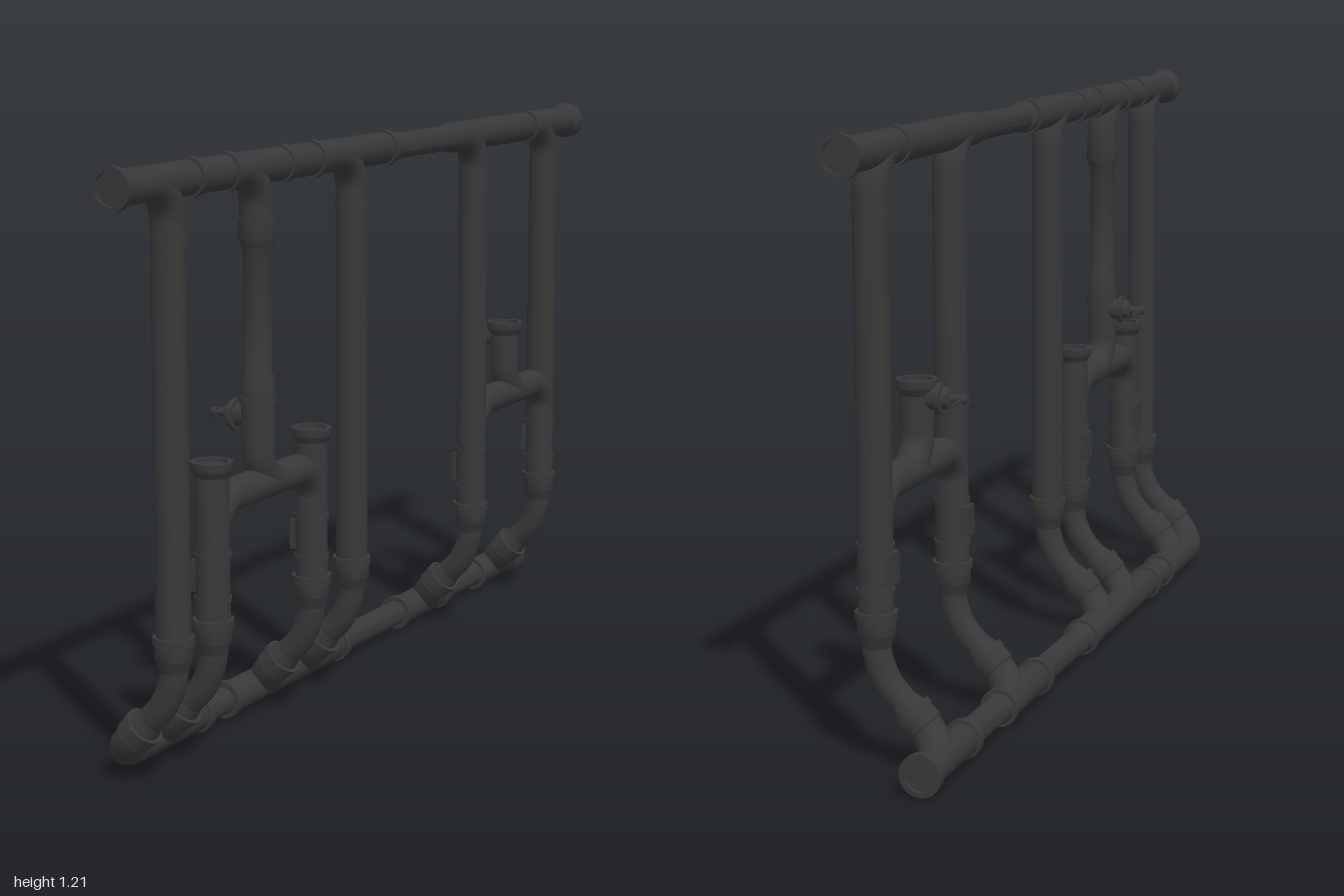
import * as THREE from 'three';
import { toCreasedNormals } from 'three/addons/utils/BufferGeometryUtils.js';

const SIDES = 20;
const R = 0.034, THIN = 0.028, RIM = 0.042;
const TOP = { x: 0.067, y: 1.167 };      // upper header
const LOW = { x: -0.075, y: 0.043 };     // lower header
const KNEE = 0.185;                      // height where the legs turn upright
const CROSS = 0.537;                     // height of the cross pipes
const V = (x, y, z) => new THREE.Vector3(x, y, z);
const onLine = (z) => V(TOP.x, 0, z);

export function createModel() {
  const model = new THREE.Group();
  model.name = 'pipework';
  const material = new THREE.MeshStandardMaterial({ color: 0x383838, side: THREE.DoubleSide });

  const add = (name, geometry, parent = model) => {
    const mesh = new THREE.Mesh(geometry, material);
    mesh.name = name;
    parent.add(mesh);
    return mesh;
  };

  // Turned part: [distance, radius] steps along a direction from an origin
  const turned = (name, origin, dir, steps, parent) => {
    const pts = steps.map(([d, r]) => new THREE.Vector2(r, d));
    const mesh = add(name, toCreasedNormals(new THREE.LatheGeometry(pts, SIDES), 0.6), parent);
    mesh.position.copy(origin);
    mesh.quaternion.setFromUnitVectors(V(0, 1, 0), dir.clone().normalize());
    return mesh;
  };

  // Elbow: straight, rounded corner, straight
  const elbow = (name, a, corner, b, bend, r, parent) => {
    const p = corner.clone().add(a.clone().sub(corner).setLength(bend));
    const q = corner.clone().add(b.clone().sub(corner).setLength(bend));
    const path = new THREE.CurvePath();
    path.add(new THREE.LineCurve3(a, p));
    // handles at 0.55 of the bend give a near-circular arc
    path.add(new THREE.CubicBezierCurve3(p, p.clone().lerp(corner, 0.55), q.clone().lerp(corner, 0.55), q));
    path.add(new THREE.LineCurve3(q, b));
    return add(name, new THREE.TubeGeometry(path, 24, r, SIDES), parent);
  };

  // Narrow raised ring
  const collar = (origin, dir, d, r = 0.039, h = 0.009, parent) =>
    turned('collar', origin, dir, [[d - h, R - 0.01], [d - h, r], [d + h, r], [d + h, R - 0.01]], parent);

  // Open socket mouth with a recessed plug
  const mouth = (origin, dir, parent) => turned('socketMouth', origin, dir,
    [[-0.03, R], [-0.022, 0.038], [-0.016, RIM], [0, RIM], [0, 0.032], [-0.008, 0.032], [-0.008, 0]], parent);

  // Upper header, with a thinner length in the middle
  const zAxis = V(0, 0, 1);
  const topOrigin = V(TOP.x, TOP.y, 0);
  turned('upperHeader', topOrigin, zAxis, [
    [-0.99, 0], [-0.99, R], [-0.35, R], [-0.32, THIN], [-0.06, THIN], [-0.055, R], [0.99, R], [0.99, 0]]);
  [0.737, 0.61, 0.405, 0.28, -0.03, -0.75].forEach((z) => collar(topOrigin, zAxis, z));
  mouth(V(TOP.x, TOP.y, 1), zAxis);
  mouth(V(TOP.x, TOP.y, -1), V(0, 0, -1));

  // Lower header
  const lowOrigin = V(LOW.x, LOW.y, 0);
  turned('lowerHeader', lowOrigin, zAxis, [
    [-0.99, 0], [-0.99, R], [-0.78, R], [-0.76, THIN], [-0.6, THIN], [-0.58, R], [-0.38, R], [-0.36, THIN],
    [-0.09, THIN], [-0.08, R], [0.4, R], [0.41, THIN], [0.49, THIN], [0.5, R], [0.72, R]]);
  [0.507, 0.4, -0.07, -0.37, -0.58, -0.78].forEach((z) => collar(lowOrigin, zAxis, z));
  mouth(V(LOW.x, LOW.y, -1), V(0, 0, -1));

  // Leg: sweeps out of the lower header, slants up and turns upright
  const slant = V(1, 1, 0).normalize();
  const leg = (z) => {
    const group = new THREE.Group();
    group.name = 'leg';
    model.add(group);
    const base = V(LOW.x, LOW.y, z);
    const mid = base.clone().addScaledVector(slant, 0.1);
    elbow('sweptBranch', V(LOW.x, LOW.y, z - 0.11), base, mid, 0.075, R, group);
    turned('slantCoupling', base, slant,
      [[0.06, R], [0.065, 0.038], [0.09, 0.038], [0.09, 0.041], [0.104, 0.041], [0.104, R], [0.125, THIN]], group);
    elbow('knee', mid, V(TOP.x, KNEE, z), V(TOP.x, 0.27, z), 0.055, THIN, group);
    turned('uprightCoupling', onLine(z), V(0, 1, 0),
      [[0.235, THIN], [0.255, R], [0.26, 0.037], [0.29, 0.037], [0.29, 0.041], [0.305, 0.041], [0.305, R]], group);
  };

  // Upright pipe, optionally running into the upper header
  const upright = (name, z, from, to) =>
    turned(name, onLine(z), V(0, 1, 0), [[from, R], [to, R]]);
  const topBranch = (z) => elbow('upperBranch', V(TOP.x, 1.03, z), V(TOP.x, TOP.y, z),
    V(TOP.x, TOP.y, z + 0.11), 0.075, R);

  [0.812, 0.11, -0.472, -0.86].forEach((z) => {
    leg(z);
    upright('riser', z, 0.29, 1.04);
    topBranch(z);
    collar(onLine(z), V(0, 1, 0), 1.06, 0.036, 0.005);
  });
  [0.67, 0.284].forEach((z) => {
    leg(z);
    upright('shortRiser', z, 0.29, 0.6);
    mouth(V(TOP.x, 0.617, z), V(0, 1, 0));
  });

  // Access hatches and collars on the linked risers
  [0.67, 0.284, -0.472, -0.86].forEach((z) => {
    add('accessHatch', new THREE.BoxGeometry(0.034, 0.062, 0.042)).position.set(0.044, 0.39, z);
    [0.345, 0.432].forEach((y) => collar(onLine(z), V(0, 1, 0), y, 0.037, 0.005));
  });

  // Valve facing -x with a thin lever
  const valve = (z) => {
    const group = new THREE.Group();
    group.name = 'valve';
    group.position.set(TOP.x, 0.675, z);
    model.add(group);
    turned('valveBody', V(0, 0, 0), V(-1, 0, 0), [
      [0.02, 0.024], [0.046, 0.024], [0.046, 0.032], [0.056, 0.032], [0.056, 0.023], [0.068, 0.02],
      [0.072, 0.01], [0.09, 0.006], [0.094, 0.006], [0.094, 0.01], [0.106, 0.01], [0.106, 0]], group);
    add('lever', new THREE.BoxGeometry(0.005, 0.008, 0.075), group).position.set(-0.1, 0, -0.034);
  };

  // Cross link: pipe bent down into two risers, with a swept stem
  const link = (zA, zB, zStem) => {
    const mid = V(TOP.x, CROSS, (zA + zB) / 2);
    [zA, zB].forEach((z) =>
      elbow('crossPipe', mid, V(TOP.x, CROSS, z), V(TOP.x, 0.44, z), 0.07, R - 0.001));
    elbow('stemBranch', V(TOP.x, CROSS, zStem - 0.1), V(TOP.x, CROSS, zStem),
      V(TOP.x, 0.65, zStem), 0.07, R - 0.001);
    valve(zStem);
  };

  link(0.67, 0.284, 0.496);
  turned('stem', onLine(0.496), V(0, 1, 0), [
    [0.63, R], [0.7, R], [0.7, 0.037], [0.715, 0.037], [0.715, R], [0.75, R], [0.765, THIN],
    [1.005, THIN], [1.02, R], [1.03, 0.037], [1.07, 0.037], [1.07, R]]);
  topBranch(0.496);

  link(-0.472, -0.86, -0.649);
  upright('stem', -0.649, 0.63, 0.69);
  mouth(V(TOP.x, 0.71, -0.649), V(0, 1, 0));

  return model;
}
